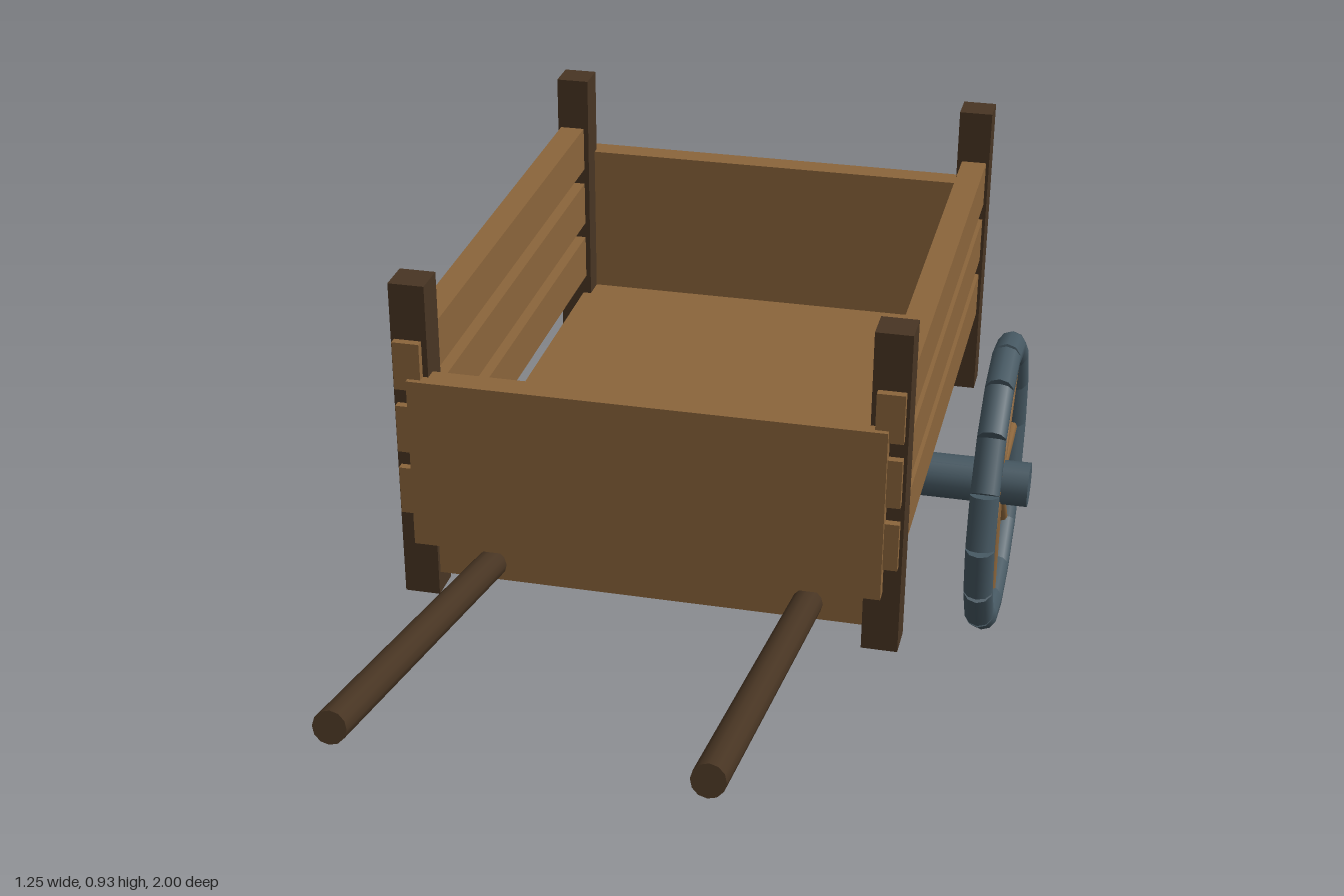
import * as THREE from 'three';

const wood = new THREE.MeshStandardMaterial({ color: 0x8b653b });
wood.name = 'plank wood';
const darkWood = new THREE.MeshStandardMaterial({ color: 0x483523 });
darkWood.name = 'dark wood';
const iron = new THREE.MeshStandardMaterial({ color: 0x465862 });
iron.name = 'blue grey iron';

// Box given by its minimum and maximum corners
function box(name, material, [x0, y0, z0], [x1, y1, z1]) {
  const mesh = new THREE.Mesh(new THREE.BoxGeometry(x1 - x0, y1 - y0, z1 - z0), material);
  mesh.position.set((x0 + x1) / 2, (y0 + y1) / 2, (z0 + z1) / 2);
  mesh.name = name;
  return mesh;
}

// Round bar between two points
function bar(name, material, from, to, radius, sides) {
  const a = new THREE.Vector3(...from);
  const b = new THREE.Vector3(...to);
  const dir = b.clone().sub(a);
  const geometry = new THREE.CylinderGeometry(radius, radius, dir.length(), sides);
  const mesh = new THREE.Mesh(geometry, material);
  mesh.position.copy(a).add(b).multiplyScalar(0.5);
  mesh.quaternion.setFromUnitVectors(new THREE.Vector3(0, 1, 0), dir.normalize());
  mesh.name = name;
  return mesh;
}

// Wheel in the yz plane: straight rim pieces and spokes
function makeWheel() {
  const wheel = new THREE.Group();
  wheel.name = 'wheel';
  const pieces = 16, rim = 0.27, half = rim * Math.tan(Math.PI / pieces);
  for (let i = 0; i < pieces; i++) {
    const t = ((i + 0.5) / pieces) * Math.PI * 2;
    const c = Math.cos(t), s = Math.sin(t);
    wheel.add(bar('rimPiece', iron,
      [0, rim * s - half * c, rim * c + half * s],
      [0, rim * s + half * c, rim * c - half * s], 0.029, 10));
  }
  for (let i = 0; i < 8; i++) {
    const t = (i / 8) * Math.PI * 2;
    wheel.add(bar('spoke', wood, [0, 0, 0],
      [0, 0.26 * Math.sin(t), 0.26 * Math.cos(t)], 0.013, 8));
  }
  return wheel;
}

export function createModel() {
  const cart = new THREE.Group();
  cart.name = 'cart';

  // Bed and end boards
  cart.add(box('floor', wood, [-0.413, 0.345, -0.965], [0.413, 0.438, 0.175]));
  cart.add(box('frontBoard', wood, [-0.43, 0.422, 0.16], [0.43, 0.752, 0.21]));
  cart.add(box('backBoard', wood, [-0.43, 0.422, -1], [0.43, 0.752, -0.95]));

  for (const side of [-1, 1]) {
    // Corner posts
    for (const z of [0.152, -0.934]) {
      const x = side * 0.429;
      cart.add(box('cornerPost', darkWood, [x - 0.033, 0.303, z - 0.033], [x + 0.033, 0.927, z + 0.033]));
    }
    // Side slats
    for (const y of [0.525, 0.65, 0.775]) {
      const x = side * 0.431;
      cart.add(box('sideSlat', wood, [x - 0.025, y - 0.046, -0.985], [x + 0.025, y + 0.046, 0.2]));
    }
    // Pull handles
    cart.add(bar('handle', darkWood, [side * 0.295, 0.37, 0.14], [side * 0.295, 0.558, 0.99], 0.028, 12));
    // Wheels
    const wheel = makeWheel();
    wheel.position.set(side * 0.561, 0.304, -0.49);
    cart.add(wheel);
  }

  // Axle through both wheels
  cart.add(bar('axle', iron, [-0.626, 0.304, -0.49], [0.626, 0.304, -0.49], 0.045, 12));
  return cart;
}
